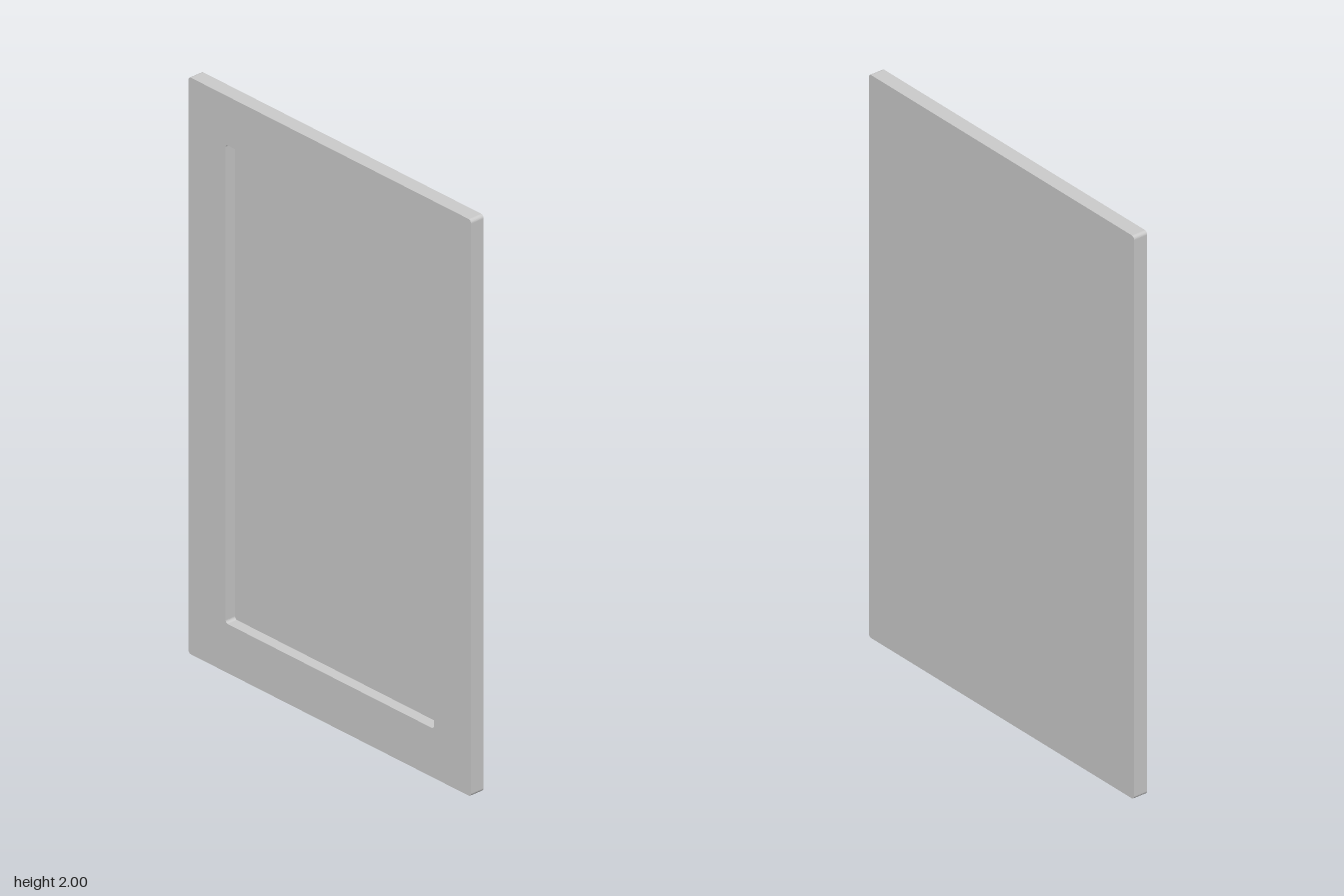
import * as THREE from 'three';

// Rounded rectangle centred on x = 0, from y0 to y1
function roundedRect(path, halfWidth, y0, y1, r) {
  path.moveTo(halfWidth - r, y0);
  path.absarc(halfWidth - r, y0 + r, r, -Math.PI / 2, 0);
  path.absarc(halfWidth - r, y1 - r, r, 0, Math.PI / 2);
  path.absarc(-halfWidth + r, y1 - r, r, Math.PI / 2, Math.PI);
  path.absarc(-halfWidth + r, y0 + r, r, Math.PI, Math.PI * 1.5);
  path.closePath();
  return path;
}

export function createModel() {
  const group = new THREE.Group();
  group.name = 'panelDoor';
  const material = new THREE.MeshStandardMaterial({ color: 0xcccccc });

  const back = -0.026, floor = -0.013, front = 0.026;
  const outline = () => roundedRect(new THREE.Shape(), 0.642, 0, 2, 0.012);

  const addLayer = (name, shape, z0, z1) => {
    const geometry = new THREE.ExtrudeGeometry(shape, {
      depth: z1 - z0, bevelEnabled: false, curveSegments: 5,
    });
    const mesh = new THREE.Mesh(geometry, material);
    mesh.name = name;
    mesh.position.z = z0;
    group.add(mesh);
  };

  // Solid back, its front face forming the floor of the recess
  addLayer('backPanel', outline(), back, floor);

  // Raised border around the recess
  const border = outline();
  border.holes.push(roundedRect(new THREE.Path(), 0.473, 0.17, 1.83, 0.01));
  addLayer('frontFrame', border, floor, front);

  return group;
}
